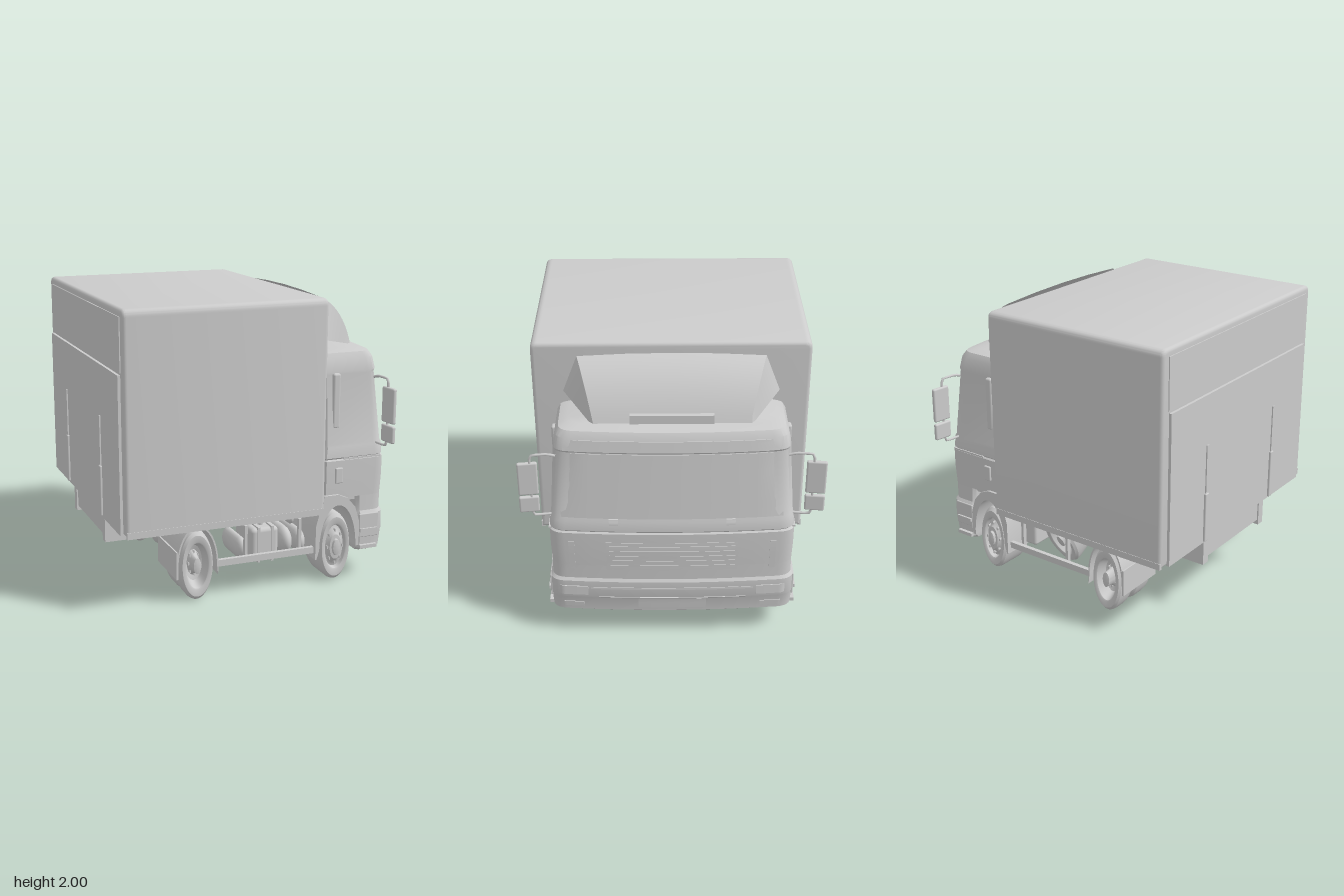
import * as THREE from 'three';
import { toCreasedNormals } from 'three/addons/utils/BufferGeometryUtils.js';
import { RoundedBoxGeometry } from 'three/addons/geometries/RoundedBoxGeometry.js';

const grey = new THREE.MeshStandardMaterial({ color: 0xcccccc });
const thin = new THREE.MeshStandardMaterial({ color: 0xcccccc, side: THREE.DoubleSide });
const lerp = THREE.MathUtils.lerp;

// Cab cross-sections by height: [y, back x, front x, half width]
const lower = [
  [0.2, 0.74, 0.95, 0.8], [0.22, 0.735, 0.972, 0.82], [0.33, 0.735, 0.982, 0.825], [0.345, 0.735, 0.988, 0.825],
  [0.47, 0.735, 0.985, 0.825], [0.49, 0.735, 0.972, 0.812], [0.6, 0.73, 0.975, 0.81],
];
const upper = [
  [0.6, 0.47, 0.975, 0.81], [0.74, 0.47, 0.982, 0.815], [0.868, 0.47, 0.982, 0.815], [0.878, 0.47, 0.972, 0.805],
  [0.888, 0.47, 0.978, 0.812], [0.96, 0.48, 0.975, 0.806], [0.98, 0.48, 0.966, 0.8], [1.46, 0.48, 0.922, 0.768],
  [1.475, 0.48, 0.93, 0.768], [1.56, 0.482, 0.915, 0.752], [1.6, 0.488, 0.89, 0.73], [1.62, 0.5, 0.83, 0.67],
];

function sectionAt(y) {
  const rows = [...lower, ...upper.slice(1)];
  const i = Math.max(1, rows.findIndex((r) => r[0] >= y));
  const a = rows[i - 1], b = rows[i], t = (y - a[0]) / (b[0] - a[0]);
  return a.map((v, k) => lerp(v, b[k], t));
}

// Surface through rows of [x, y, z] points
function skin(rows, crease = 0.5) {
  const pos = [], idx = [], n = rows[0].length;
  rows.forEach((r) => r.forEach((p) => pos.push(...p)));
  for (let j = 0; j < rows.length - 1; j++) for (let i = 0; i < n - 1; i++) {
    const a = j * n + i, b = a + 1, d = a + n, c = d + 1;
    idx.push(a, b, c, a, c, d);
  }
  const g = new THREE.BufferGeometry();
  g.setAttribute('position', new THREE.Float32BufferAttribute(pos, 3));
  g.setIndex(idx);
  return toCreasedNormals(g.toNonIndexed(), crease);
}

// Rounded plan outline of the cab at one height
function outline([y, xb, xf, hw]) {
  const half = [[xb, hw - 0.02], [xb + 0.02, hw]];
  const corner = new THREE.QuadraticBezierCurve(new THREE.Vector2(xf - 0.12, hw),
    new THREE.Vector2(xf - 0.04, hw), new THREE.Vector2(xf - 0.03, hw - 0.1));
  corner.getPoints(6).forEach((p) => half.push([p.x, p.y]));
  for (let i = 1; i <= 4; i++) {
    const u = 1 - i / 4;
    half.push([xf - 0.03 * u * u, (hw - 0.1) * u]);
  }
  const ring = [...half, ...half.slice(0, -1).reverse().map(([x, z]) => [x, -z]), half[0]];
  return ring.map(([x, z]) => [x, y, z]);
}

function loft(sections) {
  const rings = sections.map(outline);
  const cap = (s) => rings[0].map(() => [(s[1] + s[2]) / 2, s[0], 0]);
  return skin([cap(sections[0]), ...rings, cap(sections.at(-1))]);
}

export function createModel() {
  const truck = new THREE.Group();
  const add = (name, geo, x = 0, y = 0, z = 0, mat = grey, parent = truck) => {
    const m = new THREE.Mesh(geo, mat);
    m.name = name;
    m.position.set(x, y, z);
    parent.add(m);
    return m;
  };
  // Box from its limits
  const block = (name, x0, x1, y0, y1, z0, z1, r = 0) => {
    const s = [x1 - x0, y1 - y0, Math.abs(z1 - z0)];
    return add(name, r ? new RoundedBoxGeometry(...s, 3, r) : new THREE.BoxGeometry(...s), (x0 + x1) / 2, (y0 + y1) / 2, (z0 + z1) / 2);
  };
  // Thin panel bent to follow the cab front
  const frontPanel = (name, y0, y1, z0, z1, out) => {
    const g = new THREE.BoxGeometry(out * 2, y1 - y0, z1 - z0, 1, 4, 16);
    g.translate(0, (y0 + y1) / 2, (z0 + z1) / 2);
    const p = g.attributes.position;
    for (let i = 0; i < p.count; i++) {
      const [, , xf, hw] = sectionAt(p.getY(i)), z = Math.abs(p.getZ(i)), flat = hw - 0.1;
      const bend = z > flat ? 0.03 + 0.09 * ((z - flat) / 0.1) ** 2 : 0.03 * (z / flat) ** 2;
      p.setX(i, p.getX(i) + xf - bend);
    }
    g.computeVertexNormals();
    return add(name, g);
  };
  const tube = (name, pts, r) => add(name, new THREE.TubeGeometry(
    new THREE.CatmullRomCurve3(pts.map((p) => new THREE.Vector3(...p)), false, 'catmullrom', 0.1), 24, r, 8));

  // Cargo body with rounded upper edges
  const c = new THREE.Shape();
  c.moveTo(-0.92, 0.54).lineTo(0.92, 0.54).lineTo(0.92, 1.95).quadraticCurveTo(0.92, 2, 0.87, 2);
  c.lineTo(-0.87, 2).quadraticCurveTo(-0.92, 2, -0.92, 1.95).lineTo(-0.92, 0.54);
  const cargo = new THREE.ExtrudeGeometry(c, { depth: 1.345, bevelSize: 0.025, bevelThickness: 0.025, bevelOffset: -0.025, bevelSegments: 4 });
  cargo.rotateY(Math.PI / 2);
  add('cargoBody', toCreasedNormals(cargo, 0.5), -0.94);
  block('rearDoorUpper', -0.972, -0.96, 1.6, 1.95, -0.86, 0.86);
  block('tailLift', -0.984, -0.96, 0.54, 1.585, -0.85, 0.85);

  // Cab
  add('cabLower', loft(lower));
  add('cabUpper', loft(upper));
  frontPanel('windscreen', 0.985, 1.455, -0.73, 0.73, 0.004);
  frontPanel('sunVisor', 1.475, 1.55, -0.7, 0.7, 0.005);
  frontPanel('grillePanel', 0.57, 0.8, -0.44, 0.44, 0.003);
  for (let i = 0; i < 5; i++) frontPanel('grilleSlat', 0.59 + i * 0.04, 0.612 + i * 0.04, -0.42, 0.42, 0.007);
  frontPanel('bumperIntake', 0.335, 0.345, -0.5, 0.5, 0.006);
  frontPanel('plateRecess', 0.25, 0.335, -0.23, 0.23, 0.007);
  frontPanel('bumperTrim', 0.41, 0.425, -0.55, 0.55, 0.004);

  // Roof wind deflector, open at the back
  const rows = [];
  for (let i = 0; i <= 10; i++) {
    const t = i / 10, u = 1 - t;
    const x = 0.81 * u * u + 1.44 * u * t + 0.53 * t * t;
    const y = 1.61 * u * u + 3.74 * u * t + 1.96 * t * t;
    const w = lerp(0.5, 0.61, t), edge = [lerp(0.81, 0.5, t), lerp(1.61, 1.69, t), lerp(0.51, 0.71, t)];
    const ridge = [-1, -0.5, 0, 0.5, 1].map((k) => [x, y + 0.02 * t * (1 - k * k), w * k]);
    rows.push([[edge[0], edge[1], -edge[2]], ...ridge, edge]);
  }
  add('roofDeflector', skin(rows, 0.6), 0, 0, 0, thin);
  block('deflectorNotch', 0.77, 0.815, 1.61, 1.68, -0.27, 0.27);

  // Chassis
  for (const x of [-0.93, -0.62, -0.2, 0.2, 0.4]) block('crossMember', x - 0.02, x + 0.02, 0.38, 0.52, -0.35, 0.35);
  block('engine', 0.5, 0.8, 0.28, 0.61, -0.34, 0.34, 0.03);
  block('cabUnderside', 0.46, 0.76, 0.57, 0.62, -0.78, 0.78);
  for (const x of [-0.445, 0.58]) {
    add('axle', new THREE.CylinderGeometry(0.035, 0.035, 1.2, 16).rotateX(Math.PI / 2).scale(0.6, 1, 1), x, 0.245, 0);
  }
  add('differential', new THREE.SphereGeometry(0.11, 20, 14).scale(0.55, 1, 1), -0.445, 0.25, 0);

  // Wheel: lathe about its axle, shortened lengthwise like the whole truck
  const wheel = (name, x, y, z, width, steer) => {
    const h = width / 2, k = steer ? 1 : -1;
    const g = new THREE.Group();
    const pts = [[0, -h + 0.02], [0.15, -h + 0.02], [0.165, -h], [0.215, -h], [0.238, -h + 0.02], [0.245, -h + 0.05],
      [0.245, h - 0.05], [0.238, h - 0.02], [0.215, h], [0.17, h], [0.16, h - 0.005], [0.15, h - 0.035],
      [0.125, h - (steer ? 0.03 : 0.08)], [0.09, h + (steer ? 0 : -0.09)], [0.06, h + 0.002 * k - (steer ? 0 : 0.05)],
      [0.055, h + (steer ? 0.02 : 0)], [0.03, h + (steer ? 0.025 : 0.005)], [0, h + (steer ? 0.025 : 0.005)]];
    const lathe = new THREE.LatheGeometry(pts.map((p) => new THREE.Vector2(...p)), 40).rotateX(Math.PI / 2);
    add('tyreAndRim', toCreasedNormals(lathe, 0.6), 0, 0, 0, grey, g);
    for (let i = 0; i < 8; i++) {
      const a = (i / 8) * Math.PI * 2, r = steer ? 0.118 : 0.08;
      add('wheelNut', new THREE.CylinderGeometry(0.012, 0.012, 0.03, 8).rotateX(Math.PI / 2),
        r * Math.cos(a), r * Math.sin(a), h - (steer ? 0.02 : 0.08), grey, g);
    }
    g.name = name;
    g.scale.x = 0.49;
    g.position.set(x, y, z);
    if (z < 0) g.rotation.y = Math.PI;
    truck.add(g);
    return g;
  };
  wheel('spareWheel', 0.08, 0.345, -0.56, 0.18, false).rotation.set(-0.5, Math.PI, 0, 'XYZ');

  // Wheel-arch outline: outer edge, then the inner arch
  const archPlate = (pts, cx, rx, ry, depth) => {
    const s = new THREE.Shape(pts.map((p) => new THREE.Vector2(...p)));
    s.absellipse(cx, 0.245, rx, ry, 0, Math.PI, false);
    return toCreasedNormals(new THREE.ExtrudeGeometry(s, { depth, bevelEnabled: false, curveSegments: 24 }), 0.5);
  };
  const rearOuter = [[-0.3, 0.17]];
  for (let i = 24; i >= 0; i--) {
    const a = Math.PI * (1 - i / 24);
    rearOuter.push([-0.445 + 0.147 * Math.cos(a), 0.245 + 0.285 * Math.sin(a)]);
  }
  rearOuter.push([-0.592, 0.17], [-0.582, 0.17]);
  const rearArch = archPlate([...rearOuter.reverse()], -0.445, 0.136, 0.27, 0.38);
  const frontArch = archPlate([[0.42, 0.18], [0.41, 0.18], [0.412, 0.42], [0.44, 0.52], [0.465, 0.56], [0.47, 0.63],
    [0.58, 0.63], [0.65, 0.6], [0.71, 0.53], [0.745, 0.42], [0.745, 0.245]], 0.58, 0.14, 0.31, 0.4);

  // Everything that appears on both sides
  for (const s of [1, -1]) {
    const z = (a) => s * a;
    wheel('frontWheel', 0.58, 0.245, z(0.66), 0.28, true);
    wheel('rearOuterWheel', -0.445, 0.245, z(0.72), 0.17, false);
    wheel('rearInnerWheel', -0.445, 0.245, z(0.51), 0.18, false);
    add('rearFender', rearArch, 0, 0, s > 0 ? 0.43 : -0.81, thin);
    add('frontFender', frontArch, 0, 0, s > 0 ? 0.43 : -0.83, thin);
    block('mudflap', -0.595, -0.585, 0.17, 0.36, z(0.43), z(0.81));
    block('chassisRail', -0.96, 0.8, 0.345, 0.54, z(0.34), z(0.4));
    block('cabMount', 0.4, 0.5, 0.54, 0.66, z(0.3), z(0.37));
    block('sideGuard', -0.3, 0.41, 0.22, 0.265, z(0.77), z(0.8));
    for (const x of [-0.08, 0.32]) block('guardBracket', x - 0.01, x + 0.01, 0.22, 0.47, z(0.74), z(0.77));
    block('bodySill', -0.96, 0.42, 0.535, 0.58, z(0.9), z(0.923));
    block('liftHinge', -1, -0.975, 0.55, 0.9, z(0.41), z(0.45), 0.008);
    block('liftRod', -0.993, -0.975, 0.9, 1.24, z(0.42), z(0.44));

    // Cab side details
    block('sideWindowSlot', 0.54, 0.595, 1.09, 1.47, z(0.755), z(0.795), 0.015);
    block('doorHandle', 0.555, 0.612, 0.71, 0.82, z(0.805), z(0.828), 0.008);
    block('doorSeam', 0.62, 0.9, 0.872, 0.884, z(0.795), z(0.818));
    for (const y of [0.22, 0.34]) block('step', 0.75, 0.88, y, y + 0.025, z(0.8), z(0.845));
    block('stepPanel', 0.745, 0.895, 0.3, 0.47, z(0.815), z(0.832), 0.006);
    const [a, b] = (s > 0 ? [1, 2] : [2, 1]);
    const pair = (lo, hi) => (a < b ? [lo, hi] : [-hi, -lo]);
    frontPanel('headlight', 0.36, 0.43, ...pair(0.57, 0.78), 0.006);
    frontPanel('fogLight', 0.25, 0.29, ...pair(0.6, 0.74), 0.005);
    frontPanel('cornerVent', 0.57, 0.8, ...pair(0.65, 0.69), 0.005);
    frontPanel('wiperBase', 0.945, 0.985, ...pair(0.355, 0.415), 0.015);

    // Mirrors on a bent arm
    tube('mirrorArm', [[0.87, 1.42, z(0.75)], [0.875, 1.435, z(0.8)], [0.885, 1.435, z(0.9)], [0.888, 1.4, z(0.915)],
      [0.888, 1.0, z(0.915)], [0.885, 0.97, z(0.9)], [0.87, 0.97, z(0.78)]], 0.009);
    for (const [y0, y1] of [[1.135, 1.38], [1.0, 1.12]]) {
      block('mirror', 0.872, 0.902, y0, y1, z(0.868), z(1), 0.012).rotation.y = s * 0.12;
    }
  }

  // Tanks and equipment between the axles
  block('fuelTank', -0.03, 0.17, 0.2, 0.43, 0.44, 0.75, 0.03);
  add('fuelCap', new THREE.CylinderGeometry(0.02, 0.02, 0.05, 12), 0.07, 0.45, 0.66);
  for (const x of [0.02, 0.12]) block('tankStrap', x - 0.008, x + 0.008, 0.19, 0.44, 0.43, 0.757);
  for (const [x, z, y, r] of [[0.24, 0.56, 0.3, 0.1], [0.35, 0.56, 0.285, 0.085], [-0.08, 0.56, 0.28, 0.08], [0.32, 0.5, 0.43, 0.045]]) {
    const tank = new THREE.CapsuleGeometry(r, 0.2, 8, 20).rotateX(Math.PI / 2).scale(0.52, 1, 1);
    add('airTank', tank, x, y, z);
  }
  block('batteryBox', 0.24, 0.38, 0.25, 0.45, -0.72, -0.42, 0.02);
  return truck;
}
